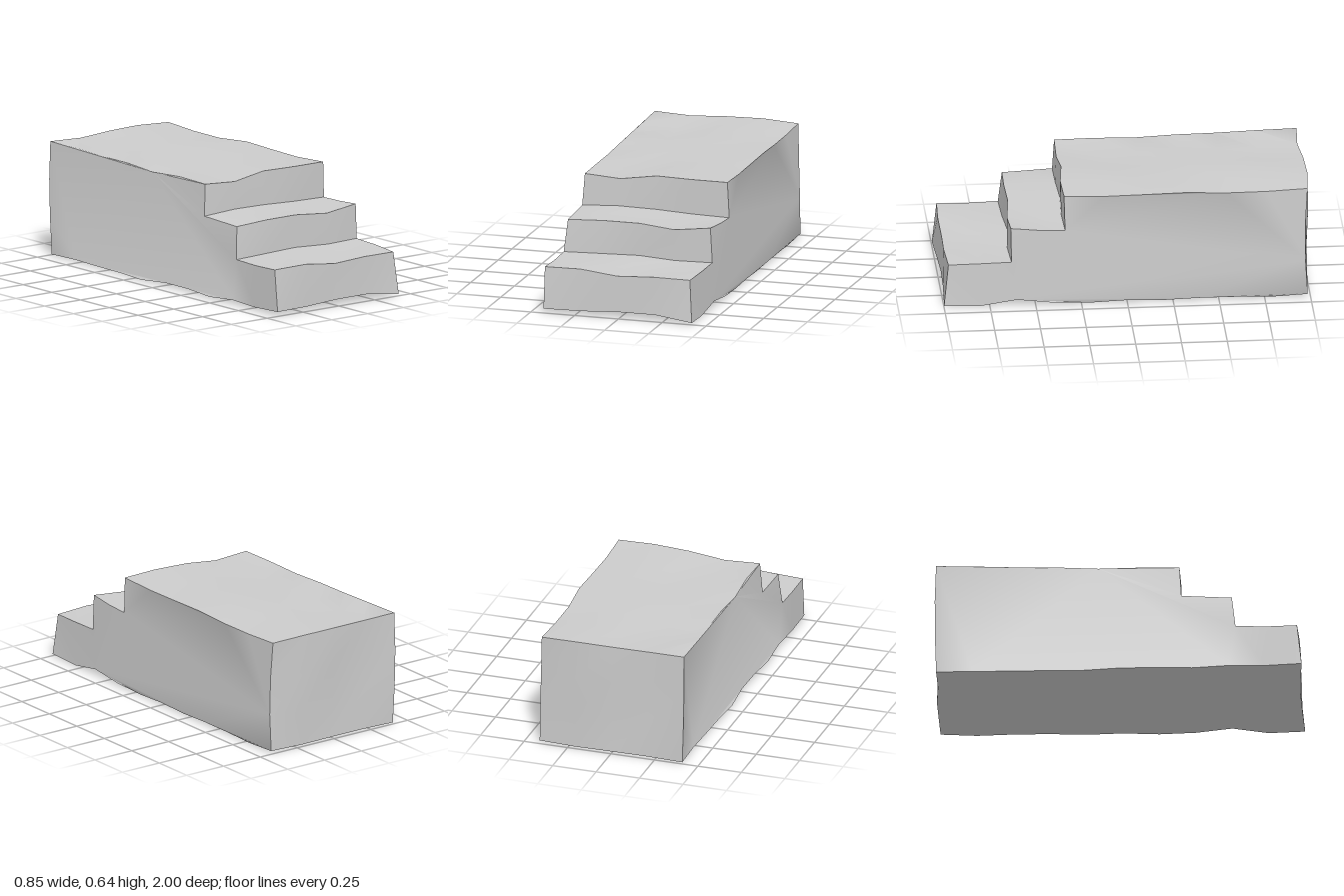
import * as THREE from 'three';
import { toCreasedNormals } from 'three/addons/utils/BufferGeometryUtils.js';

// Outline edges from the front foot, over the steps, to the back foot.
// y and z run across the width (left-hand end of the arrays is -x); x gives both ends.
const EDGES = [
  { y: [0.025, 0.025, 0.035, 0.037, 0.01], z: [1, 0.99, 0.985, 0.99, 1], x: [-0.427, 0.418] },
  { y: [0.255, 0.26, 0.235, 0.247, 0.243], z: [0.975, 0.985, 0.98, 0.985, 0.975], x: [-0.427, 0.4] },
  { y: [0.255, 0.26, 0.262, 0.255, 0.257], z: [0.64, 0.635, 0.62, 0.64, 0.632], x: [-0.425, 0.42] },
  { y: [0.433, 0.444, 0.443, 0.428, 0.452], z: [0.62, 0.625, 0.62, 0.64, 0.635], x: [-0.407, 0.41] },
  { y: [0.445, 0.456, 0.45, 0.443, 0.437], z: [0.345, 0.345, 0.335, 0.345, 0.34], x: [-0.412, 0.425] },
  { y: [0.62, 0.608, 0.637, 0.638, 0.636], z: [0.335, 0.34, 0.33, 0.35, 0.345], x: [-0.4, 0.416] },
  { y: [0.636, 0.63, 0.637, 0.64, 0.632], z: [-0.99, -0.978, -0.995, -1, -0.985], x: [-0.417, 0.403] },
  { y: [0.005, 0.008, 0.012, 0.008, 0.012], z: [-0.99, -0.985, -0.995, -0.99, -0.985], x: [-0.407, 0.415] },
];
// Number of spans between each edge and the next
const SPANS = [1, 2, 1, 2, 1, 6, 3, 10];
const COLS = 5;

// Repeatable unevenness in -1..1
const wobble = (a, b) => Math.sin(a * 2.7 + b * 1.9 + Math.sin(a * 1.3 - b * 2.1) * 2);

// Cross the block row by row, subdividing between edges
function makeRows() {
  const rows = [];
  const mix = THREE.MathUtils.lerp;
  EDGES.forEach((a, e) => {
    const b = EDGES[(e + 1) % EDGES.length];
    for (let s = 0; s < SPANS[e]; s++) {
      const t = s / SPANS[e], k = rows.length, row = [];
      const x0 = mix(a.x[0], b.x[0], t), x1 = mix(a.x[1], b.x[1], t);
      for (let i = 0; i < COLS; i++) {
        let x = mix(x0, x1, i / (COLS - 1));
        let y = mix(a.y[i], b.y[i], t), z = mix(a.z[i], b.z[i], t);
        if (s > 0) {
          const w = wobble(k, i);
          if (e === 6) z += i === COLS - 1 ? 0.012 : 0.008 * w; // back wall
          else if (e === 7) y = Math.max(0, y - 0.008 + 0.009 * w); // underside
          else y += 0.008 * w - 0.006; // treads
          if (i === 0 || i === COLS - 1) x += 0.006 * w;
        }
        // small hump under the +x side, just behind the front
        if (e === 7 && s === 8) y += 0.006 * i;
        row.push(new THREE.Vector3(x, y, z));
      }
      rows.push(row);
    }
  });
  return rows;
}

function stepsGeometry() {
  const rows = makeRows(), n = rows.length, pos = [];
  const tri = (...pts) => pts.forEach((p) => pos.push(p.x, p.y, p.z));
  // Outer skin
  for (let j = 0; j < n; j++) {
    const lo = rows[j], hi = rows[(j + 1) % n];
    for (let i = 0; i < COLS - 1; i++) {
      tri(lo[i], lo[i + 1], hi[i + 1]);
      tri(lo[i], hi[i + 1], hi[i]);
    }
  }
  // Two stepped side walls, each wound to face outward
  for (const [col, side] of [[0, -1], [COLS - 1, 1]]) {
    const loop = rows.map((r) => r[col]);
    const flat = loop.map((p) => new THREE.Vector2(-p.z, p.y));
    for (const [a, b, c] of THREE.ShapeUtils.triangulateShape(flat, [])) {
      const area = THREE.ShapeUtils.area([flat[a], flat[b], flat[c]]);
      if (area * side > 0) tri(loop[a], loop[b], loop[c]);
      else tri(loop[a], loop[c], loop[b]);
    }
  }
  const geo = new THREE.BufferGeometry();
  geo.setAttribute('position', new THREE.Float32BufferAttribute(pos, 3));
  return toCreasedNormals(geo, 0.7);
}

export function createModel() {
  const group = new THREE.Group();
  group.name = 'stoneSteps';
  const steps = new THREE.Mesh(stepsGeometry(), new THREE.MeshStandardMaterial({ color: 0xcccccc }));
  steps.name = 'steppedBlock';
  group.add(steps);
  return group;
}
